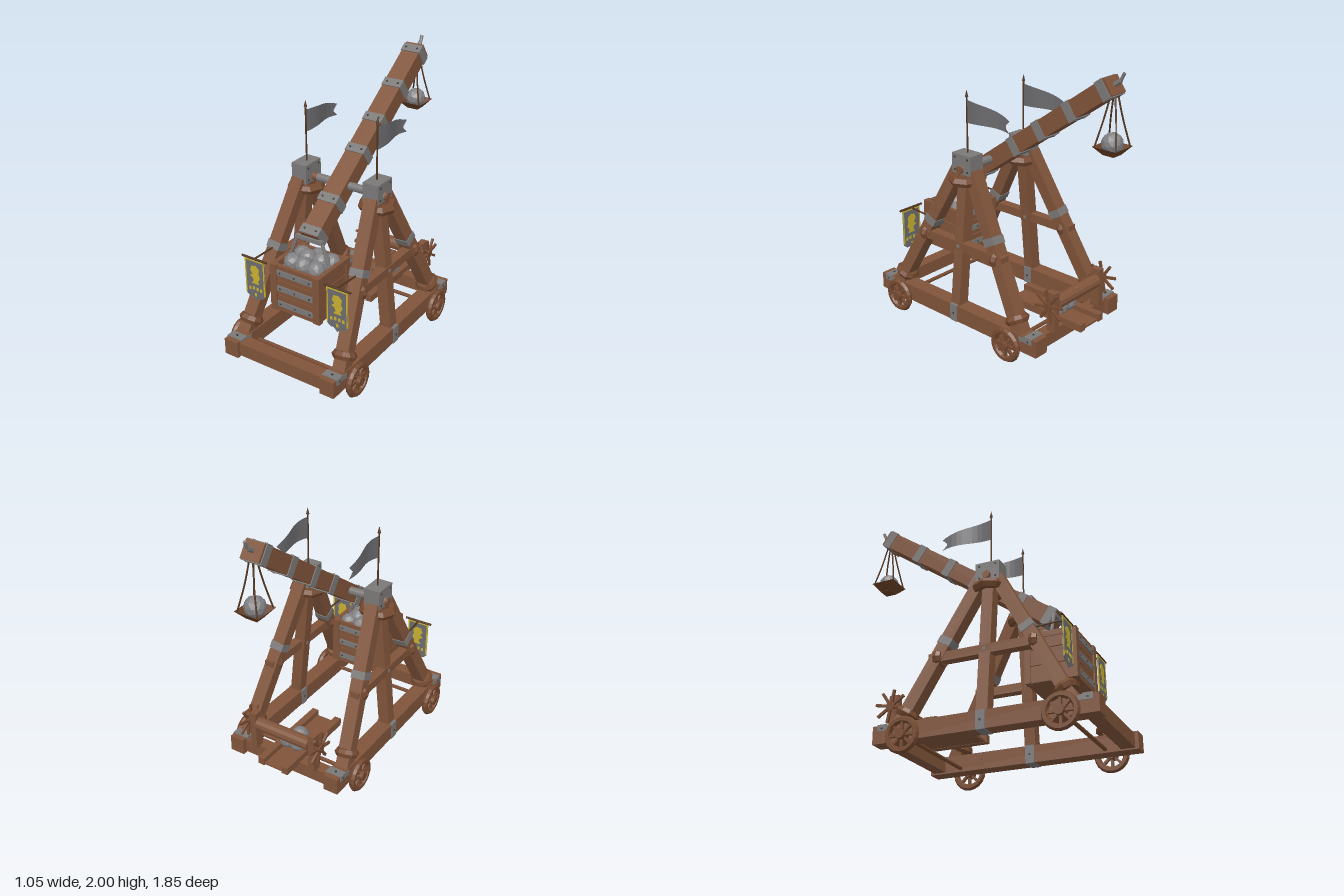
import * as THREE from 'three';

const mat = (name, color, double) => {
  const m = new THREE.MeshStandardMaterial({ color });
  m.name = name;
  m.flatShading = true;
  if (double) m.side = THREE.DoubleSide;
  return m;
};
const V = (x, y, z) => new THREE.Vector3(x, y, z);

export function createModel() {
  const root = new THREE.Group();
  root.name = 'trebuchet';
  const wood = mat('wood', 0x80543a), darkWood = mat('darkWood', 0x764a30), rope = mat('rope', 0x52351f);
  const metal = mat('metal', 0x7b7978), stone = mat('stone', 0x818184), stud = mat('stud', 0x3c3a3a);
  const cloth = mat('cloth', 0x6c6c6f, true), gold = mat('gold', 0xc8b02e, true);

  const add = (name, geo, m, p = [0, 0, 0], r = [0, 0, 0], parent = root) => {
    const mesh = new THREE.Mesh(geo, m);
    mesh.name = name;
    mesh.position.set(...p);
    mesh.rotation.set(...r);
    parent.add(mesh);
    return mesh;
  };
  const box = (name, m, size, p, r) => add(name, new THREE.BoxGeometry(...size), m, p, r);
  // axis 'x', 'y' or 'z'
  const cyl = (name, m, rad, len, axis, p, seg = 12) => add(name, new THREE.CylinderGeometry(rad, rad, len, seg), m, p,
    axis === 'x' ? [0, 0, Math.PI / 2] : axis === 'z' ? [Math.PI / 2, 0, 0] : [0, 0, 0]);
  // turns a mesh so that its y axis runs along a to b
  const orient = (mesh, a, b, t) => {
    const y = b.clone().sub(a).normalize();
    const x = V(1, 0, 0).addScaledVector(y, -y.x).normalize();
    mesh.quaternion.setFromRotationMatrix(new THREE.Matrix4().makeBasis(x, y, x.clone().cross(y)));
    mesh.position.lerpVectors(a, b, t);
    return mesh;
  };
  const beam = (name, m, a, b, w, d) => orient(box(name, m, [w, a.distanceTo(b), d], [0, 0, 0]), a, b, 0.5);
  const band = (a, b, t, w, h, d) => orient(box('metalBand', metal, [w, h, d], [0, 0, 0]), a, b, t);
  const rod = (name, m, a, b, r) => orient(add(name, new THREE.CylinderGeometry(r, r, a.distanceTo(b), 6), m), a, b, 0.5);
  const boulder = (r, p, turn) => add('boulder', new THREE.IcosahedronGeometry(r, 1), stone, p, [turn, turn * 2.3, turn * 0.7]);

  // base frame
  box('frontBeam', wood, [0.72, 0.1, 0.095], [0, 0.16, 0.857]);
  box('rearBeam', wood, [0.72, 0.1, 0.085], [0, 0.16, -0.535]);
  for (const s of [-1, 1]) {
    box('sideRail', wood, [0.112, 0.122, 1.54], [s * 0.399, 0.161, 0.16]);
    for (const [z, dir] of [[0.86, -1], [-0.54, 1]]) {
      box('cornerPlate', metal, [0.122, 0.045, 0.065], [s * 0.399, 0.205, z]);
      box('cornerStrap', metal, [0.122, 0.035, 0.06], [s * 0.399, 0.2, z + dir * 0.05], [dir * 0.2, 0, 0]);
      cyl('stud', stud, 0.007, 0.128, 'x', [s * 0.399, 0.2, z], 6);
      cyl('stud', stud, 0.008, 0.008, 'y', [s * 0.399, 0.23, z], 6);
    }
    box('railStrap', metal, [0.122, 0.128, 0.065], [s * 0.399, 0.161, 0.16]);
    cyl('stud', stud, 0.008, 0.13, 'x', [s * 0.399, 0.16, 0.16], 6);
  }

  // axles and spoked wheels
  for (const z of [0.7, -0.37]) {
    cyl('axle', darkWood, 0.014, 1, 'x', [0, 0.125, z], 8);
    for (const s of [-1, 1]) {
      const wheel = new THREE.Group();
      wheel.name = 'wheel';
      wheel.position.set(s * 0.49, 0.125, z);
      wheel.rotation.y = Math.PI / 2;
      root.add(wheel);
      add('rim', new THREE.TorusGeometry(0.102, 0.023, 6, 20), darkWood, [0, 0, 0], [0, 0, 0], wheel);
      add('hub', new THREE.CylinderGeometry(0.034, 0.034, 0.075, 10), darkWood, [0, 0, 0], [Math.PI / 2, 0, 0], wheel);
      for (let i = 0; i < 4; i++)
        add('spoke', new THREE.BoxGeometry(0.018, 0.2, 0.02), darkWood, [0, 0, 0], [0, 0, i * Math.PI / 4], wheel);
    }
  }

  // two towers with legs, braces, rope wraps, caps and flags
  for (const s of [-1, 1]) {
    beam('towerPost', wood, V(s * 0.405, 0.12, 0.16), V(s * 0.295, 1.2, 0.16), 0.085, 0.08);
    for (const d of [-1, 1]) {
      const a = V(s * 0.402, 0.2, 0.16 + d * 0.597), b = V(s * 0.297, 1.2, 0.16 + d * 0.06);
      beam('towerLeg', wood, a, b, 0.095, 0.09);
      band(a, b, 0.57, 0.105, 0.055, 0.1);
      const wrap = add('footWrap', new THREE.TorusGeometry(0.055, 0.033, 6, 10).rotateX(Math.PI / 2), darkWood);
      orient(wrap, a, b, 0.09);
      add('braceWrap', new THREE.TorusGeometry(0.043, 0.021, 6, 10).scale(1.15, 1, 1.5), darkWood, [s * 0.358, 0.66, 0.16 + d * 0.34]);
    }
    box('brace', wood, [0.07, 0.064, 0.785], [s * 0.36, 0.66, 0.145]);
    box('bracePlate', metal, [0.1, 0.02, 0.02], [s * 0.352, 0.66, 0.16]);
    add('towerTopWrap', new THREE.TorusGeometry(0.1, 0.035, 6, 8).scale(1.03, 0.94, 1), darkWood, [s * 0.292, 1.137, 0.16], [Math.PI / 2, 0, 0]);
    box('towerCap', metal, [0.12, 0.14, 0.175], [s * 0.29, 1.25, 0.16]);
    for (const y of [1.205, 1.295]) for (const z of [0.1, 0.22])
      cyl('stud', stud, 0.008, 0.128, 'x', [s * 0.29, y, z], 6);
    cyl('axleCollar', metal, 0.03, 0.05, 'x', [s * 0.332, 1.217, 0.16]);

    // flag on a pole, swallow tailed and slightly waving
    cyl('flagPole', rope, 0.006, 0.42, 'y', [s * 0.285, 1.52, 0.16], 6);
    add('poleTip', new THREE.ConeGeometry(0.012, 0.05, 6), rope, [s * 0.285, 1.735, 0.16]);
    const flag = new THREE.PlaneGeometry(1, 1, 10, 2), fp = flag.attributes.position;
    for (let i = 0; i < fp.count; i++) {
      const u = fp.getX(i) + 0.5, v = fp.getY(i) + 0.5;
      const low = 1.53 + 0.012 * Math.sin(u * Math.PI), high = 1.69 - 0.075 * u * u;
      const notch = u > 0.95 && v === 0.5 ? 0.045 : 0;
      fp.setXYZ(i, s * 0.285 + 0.014 * Math.sin(u * 6), low + (high - low) * v, 0.16 - 0.38 * u + notch);
    }
    flag.computeVertexNormals();
    add('flag', flag, cloth);
  }

  // main pivot
  cyl('pivotAxle', wood, 0.027, 0.75, 'x', [0, 1.217, 0.16]);
  cyl('pivotSleeve', metal, 0.029, 0.38, 'x', [0, 1.217, 0.16]);

  // throwing arm with metal bands and end hook
  const low = V(0, 0.95, 0.515), top = V(0, 1.91, -0.83);
  beam('throwingArm', wood, low, top, 0.14, 0.122);
  for (const z of [0.485, 0.275, -0.06, -0.28, -0.53, -0.79]) {
    const t = (0.515 - z) / 1.345;
    band(low, top, t, 0.152, 0.065, 0.135);
    for (const x of [-0.045, 0.045]) {
      const pin = orient(add('stud', new THREE.CylinderGeometry(0.008, 0.008, 0.145, 6).rotateX(Math.PI / 2), stud), low, top, t);
      pin.position.x = x;
    }
  }
  rod('hook', metal, V(0, 1.89, -0.8), V(0, 1.942, -0.873), 0.016);
  rod('hookTip', metal, V(0, 1.935, -0.87), V(0, 1.993, -0.897), 0.012);

  // sling with pouch and shot
  for (const x of [-1, 1]) for (const z of [-1, 1]) {
    const c = new THREE.CatmullRomCurve3([V(x * 0.012, 1.88, -0.83 + z * 0.01), V(x * 0.035, 1.7, -0.83 + z * 0.045), V(x * 0.075, 1.515, -0.83 + z * 0.082)]);
    add('slingRope', new THREE.TubeGeometry(c, 8, 0.006, 5), rope);
  }
  const pouch = mat('pouch', 0x6b4128, true);
  add('slingPouch', new THREE.CylinderGeometry(0.13, 0.062, 0.055, 4, 1, true).rotateY(Math.PI / 4), pouch, [0, 1.489, -0.83]);
  box('pouchBase', pouch, [0.088, 0.006, 0.088], [0, 1.463, -0.83]);
  boulder(0.073, [0, 1.535, -0.83], 0.4);

  // counterweight crate
  const cz = 0.537;
  box('crateFloor', wood, [0.38, 0.03, 0.35], [0, 0.467, cz]);
  for (const s of [-1, 1]) {
    for (let i = 0; i < 3; i++) {
      const y = 0.512 + i * 0.115;
      box('crateSidePlank', wood, [0.028, 0.11, 0.34], [s * 0.178, y, cz]);
      box('crateEndPlank', wood, [0.37, 0.11, 0.028], [0, y, cz + s * 0.157]);
      box('crateStrap', metal, [0.29, 0.04, 0.008], [0, 0.505 + i * 0.12, cz + s * 0.175]);
      for (const x of [-0.12, 0, 0.12])
        cyl('stud', stud, 0.007, 0.01, 'z', [x, 0.505 + i * 0.12, cz + s * 0.178], 6);
    }
    for (const d of [-1, 1]) box('cratePost', wood, [0.052, 0.35, 0.04], [s * 0.174, 0.625, cz + d * 0.161]);
    box('crateTopRail', wood, [0.03, 0.04, 0.36], [s * 0.184, 0.78, cz]);
    rod('hanger', metal, V(s * 0.1, 0.955, 0.535), V(s * 0.17, 0.77, 0.535), 0.012);
  }
  box('hangerBar', metal, [0.215, 0.026, 0.03], [0, 0.957, 0.535]);
  cyl('hangerPin', metal, 0.012, 0.34, 'x', [0, 0.79, 0.535], 8);
  box('crateFill', stone, [0.33, 0.2, 0.29], [0, 0.65, cz]);
  [[-0.09, 0.79, 0.6], [0.01, 0.8, 0.62], [0.1, 0.785, 0.6], [-0.1, 0.785, 0.48], [-0.03, 0.8, 0.52],
    [0.07, 0.795, 0.5], [0.11, 0.77, 0.44], [0, 0.775, 0.43]].forEach((p, i) => boulder(0.065, p, i * 1.1));

  // hanging banners with gold trim and an abstract charge
  const poly = (pts) => new THREE.Shape(pts.map(([x, y]) => new THREE.Vector2(x, y)));
  const plate = (shape, d) => new THREE.ExtrudeGeometry(shape, { depth: d, bevelEnabled: false }).translate(0, 0, -d / 2);
  const outline = [[-0.082, 0.78], [-0.082, 0.5], [-0.05, 0.475], [-0.03, 0.48], [0, 0.45], [0.03, 0.48], [0.05, 0.475], [0.082, 0.5], [0.082, 0.78]];
  const charge = [[-0.04, 0.69], [-0.028, 0.725], [0.01, 0.73], [0.038, 0.705], [0.032, 0.67], [0.042, 0.64], [0.025, 0.61],
    [0.035, 0.588], [-0.03, 0.588], [-0.012, 0.612], [-0.02, 0.635], [-0.045, 0.645], [-0.02, 0.665]];
  for (const s of [-1, 1]) {
    const p = [s * 0.338, 0, 0.708];
    add('banner', plate(poly(outline), 0.004), cloth, p);
    add('bannerCharge', plate(poly(charge), 0.008), gold, p);
    for (const d of [-1, 1]) box('bannerTrim', gold, [0.01, 0.27, 0.008], [p[0] + d * 0.077, 0.642, p[2]]);
    box('bannerTopTrim', gold, [0.16, 0.01, 0.008], [p[0], 0.768, p[2]]);
    for (const [x, y] of [[-0.045, 0.545], [-0.015, 0.55], [0.018, 0.548], [0.048, 0.545], [0, 0.5]])
      box('bannerSpot', gold, [0.018, 0.025, 0.008], [p[0] + x, y, p[2]]);
    cyl('bannerRod', rope, 0.008, 0.21, 'x', [p[0], 0.783, p[2]], 6);
    rod('bannerArm', rope, V(p[0], 0.783, 0.708), V(s * 0.345, 0.77, 0.46), 0.007);
  }

  // loading track with spare shot
  for (const s of [-1, 1]) box('trackRail', wood, [0.05, 0.055, 0.68], [s * 0.098, 0.225, -0.382]);
  box('trackFloor', wood, [0.15, 0.014, 0.66], [0, 0.207, -0.382]);
  [[-0.042, 0.28, -0.47], [0.045, 0.28, -0.47], [0, 0.278, -0.39]].forEach((p, i) => boulder(0.065, p, i + 0.5));

  // winch with spoked hand wheels
  cyl('winchDrum', wood, 0.048, 0.43, 'x', [0, 0.412, -0.58], 12);
  cyl('winchAxle', darkWood, 0.016, 0.62, 'x', [0, 0.412, -0.58], 8);
  for (const s of [-1, 1]) {
    box('winchPost', wood, [0.048, 0.29, 0.07], [s * 0.243, 0.355, -0.575]);
    cyl('winchHub', darkWood, 0.032, 0.03, 'x', [s * 0.296, 0.412, -0.58], 10);
    for (let i = 0; i < 4; i++)
      box('winchSpoke', darkWood, [0.016, 0.235, 0.018], [s * 0.296, 0.412, -0.58], [0.2 + i * Math.PI / 4, 0, 0]);
  }
  return root;
}
